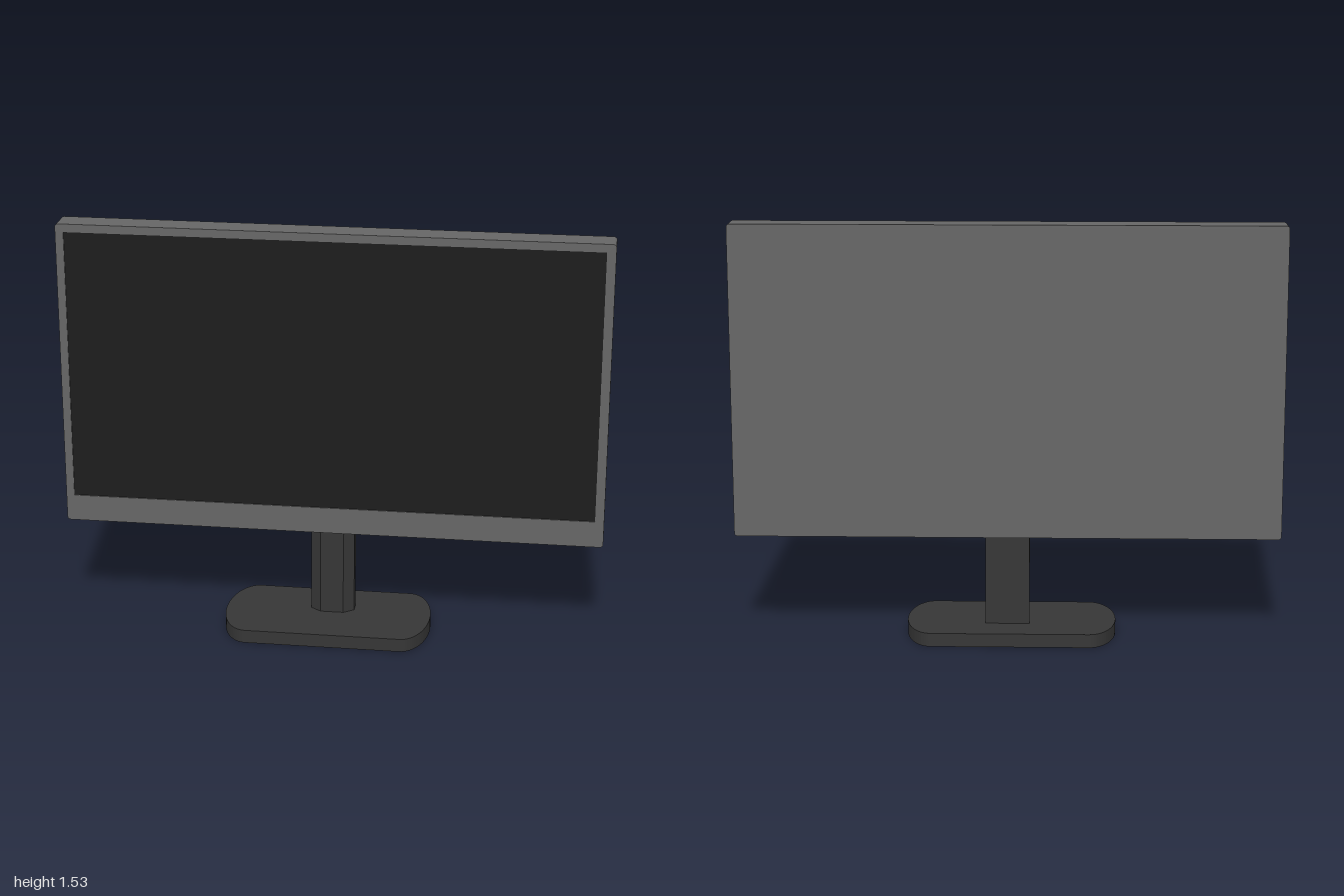
import * as THREE from 'three';

const paint = (color) => new THREE.MeshStandardMaterial({ color });

function part(name, geometry, material, x = 0, y = 0, z = 0) {
  const mesh = new THREE.Mesh(geometry, material);
  mesh.name = name;
  mesh.position.set(x, y, z);
  return mesh;
}

// Rectangle with small rounded corners
function roundedRect(x0, y0, x1, y1, r) {
  const s = new THREE.Shape();
  s.absarc(x1 - r, y0 + r, r, -Math.PI / 2, 0);
  s.absarc(x1 - r, y1 - r, r, 0, Math.PI / 2);
  s.absarc(x0 + r, y1 - r, r, Math.PI / 2, Math.PI);
  s.absarc(x0 + r, y0 + r, r, Math.PI, Math.PI * 1.5);
  s.closePath();
  return s;
}

const extrude = (shape, depth, curveSegments = 6) =>
  new THREE.ExtrudeGeometry(shape, { depth, bevelEnabled: false, curveSegments });

// Extrude a plan outline (x, -z) upwards
const extrudeUp = (shape, height, segments) =>
  extrude(shape, height, segments).rotateX(-Math.PI / 2);

export function createModel() {
  const model = new THREE.Group();
  model.name = 'monitor';
  const casing = paint(0x666666);
  const glass = paint(0x1c1c1c);
  const dark = paint(0x363636);

  // Casing: solid back shell plus a shallow bezel around the screen
  const back = -0.083, front = 0.017, recess = 0.008;
  const outline = () => roundedRect(-1, 0.38, 1, 1.53, 0.012);
  model.add(part('backShell', extrude(outline(), front - recess - back), casing, 0, 0, back));

  const bezel = outline();
  const opening = new THREE.Path();
  opening.moveTo(-0.97, 0.48).lineTo(-0.97, 1.5).lineTo(0.967, 1.5).lineTo(0.967, 0.48).closePath();
  bezel.holes.push(opening);
  model.add(part('bezel', extrude(bezel, recess), casing, 0, 0, front - recess));

  // Screen panel set into the bezel
  model.add(part('screen', new THREE.BoxGeometry(1.937, 1.02, 0.004), glass,
    -0.0015, 0.99, front - recess + 0.002));

  // Neck: flat back, chamfered front corners
  const neck = new THREE.Shape();
  neck.moveTo(-0.082, 0.073).lineTo(-0.082, 0.028).lineTo(-0.044, 0)
    .lineTo(0.042, 0).lineTo(0.08, 0.028).lineTo(0.08, 0.073).closePath();
  model.add(part('neck', extrudeUp(neck, 0.36), dark, 0, 0.04, 0));

  // Base: straight front and back edges, bowed ends
  const base = new THREE.Shape();
  base.moveTo(-0.3, -0.2).lineTo(0.275, -0.2);
  base.absellipse(0.275, 0, 0.095, 0.2, -Math.PI / 2, Math.PI / 2);
  base.lineTo(-0.3, 0.2);
  base.absellipse(-0.3, 0, 0.1, 0.2, Math.PI / 2, Math.PI * 1.5);
  model.add(part('base', extrudeUp(base, 0.05, 16), dark));

  return model;
}
